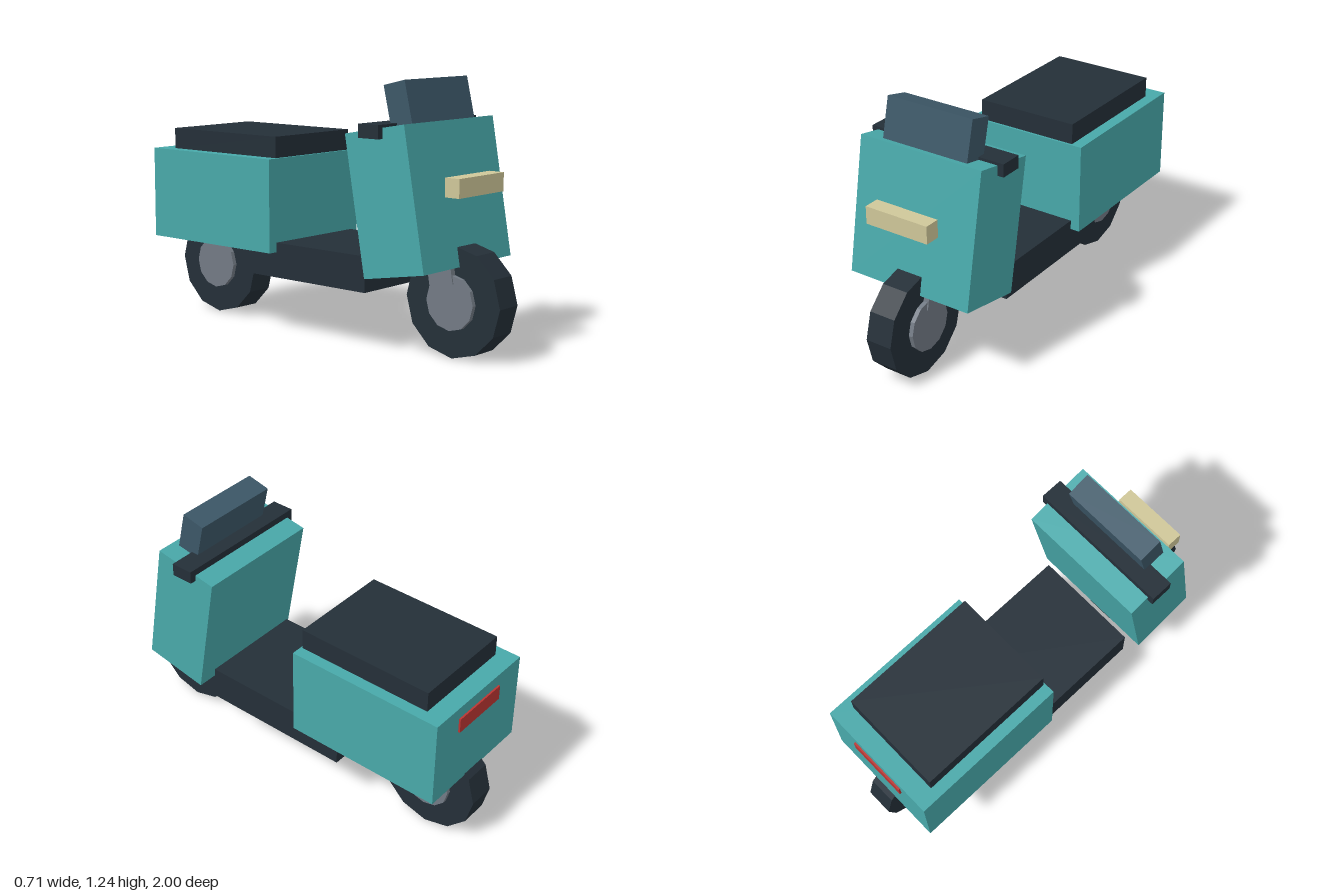
import * as THREE from 'three';

const mat = (name, color) => {
  const m = new THREE.MeshStandardMaterial({ color });
  m.name = name;
  return m;
};

export function createModel() {
  const teal = mat('teal paint', 0x48a8a9);
  const dark = mat('dark rubber', 0x242f38);
  const grey = mat('grey metal', 0x727a84);
  const glass = mat('blue grey screen', 0x3c5767);
  const cream = mat('cream lamp', 0xcfc799);
  const red = mat('red lamp', 0xba3532);

  const scooter = new THREE.Group();
  scooter.name = 'scooter';

  // Box centred on x = 0, optionally leaning about x
  const box = (name, material, size, y, z, lean = 0) => {
    const mesh = new THREE.Mesh(new THREE.BoxGeometry(...size), material);
    mesh.name = name;
    mesh.position.set(0, y, z);
    mesh.rotation.x = lean;
    scooter.add(mesh);
  };

  // Twelve-sided disc with its axle along x
  const disc = (name, material, radius, width) => {
    const geometry = new THREE.CylinderGeometry(radius, radius, width, 12).rotateZ(Math.PI / 2).toNonIndexed();
    geometry.computeVertexNormals();
    const mesh = new THREE.Mesh(geometry, material);
    mesh.name = name;
    return mesh;
  };

  // Wheels: tyre with a slightly wider hub
  for (const [name, z] of [['frontWheel', 0.743], ['rearWheel', -0.743]]) {
    const wheel = new THREE.Group();
    wheel.name = name;
    wheel.position.set(0, 0.257, z);
    wheel.add(disc('tyre', dark, 0.257, 0.134), disc('hub', grey, 0.128, 0.177));
    scooter.add(wheel);
  }

  // Front end
  box('frontShield', teal, [0.652, 0.65, 0.338], 0.71, 0.56, -0.175);
  box('fork', grey, [0.19, 0.3, 0.13], 0.48, 0.675, -0.175);
  box('windscreen', glass, [0.456, 0.3, 0.12], 1.083, 0.569, -0.23);
  box('handlebar', dark, [0.715, 0.062, 0.112], 1.021, 0.497);
  box('headlight', cream, [0.332, 0.086, 0.077], 0.782, 0.809);

  // Floor and rear end
  box('footboard', dark, [0.537, 0.167, 0.768], 0.366, 0.02);
  box('rearBody', teal, [0.63, 0.445, 0.8], 0.626, -0.541);
  box('seat', dark, [0.518, 0.101, 0.695], 0.8995, -0.499);
  box('tailLight', red, [0.302, 0.075, 0.03], 0.752, -0.935);

  return scooter;
}
